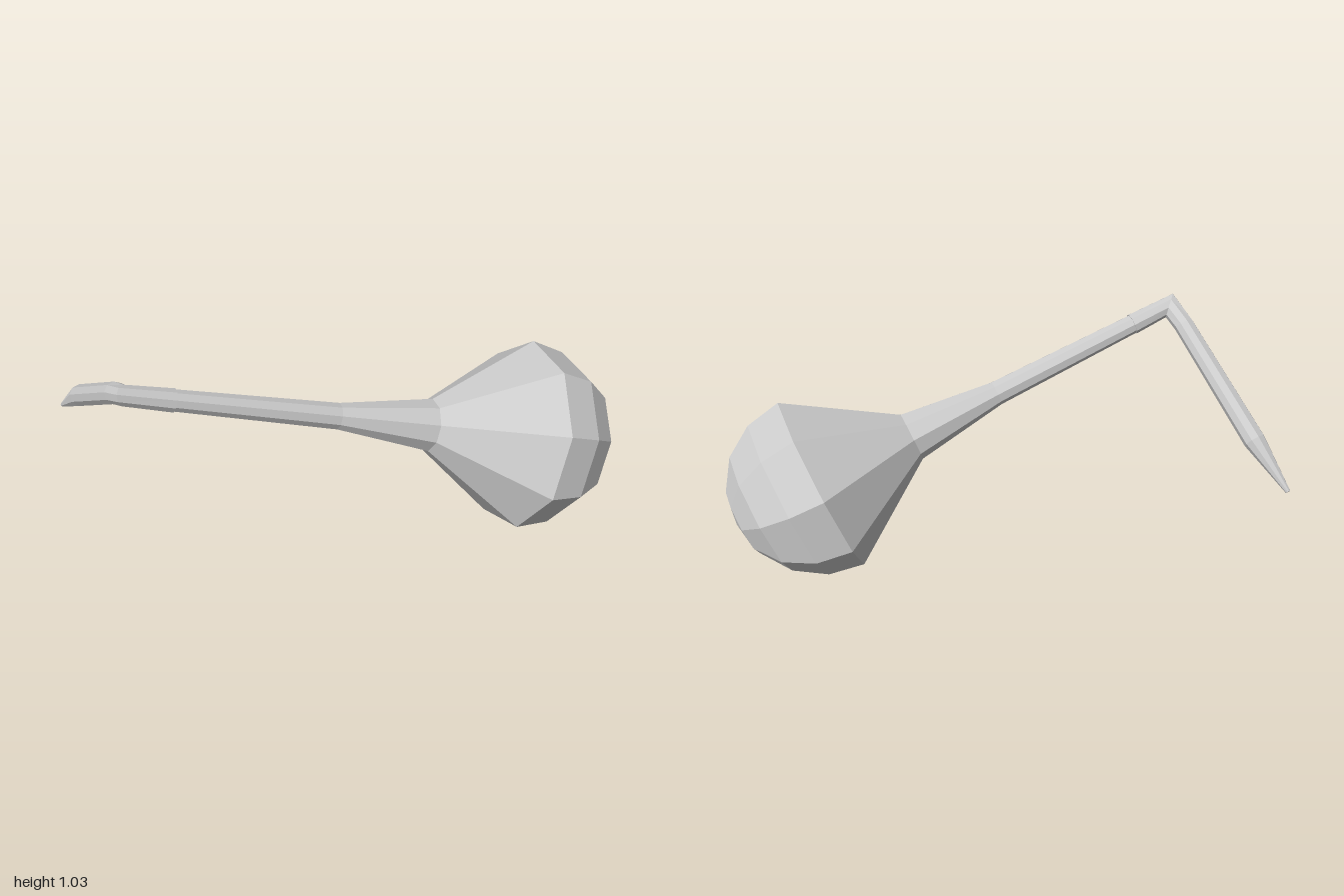
import * as THREE from 'three';

const SIDES = 9;
const vec = (x, y, z) => new THREE.Vector3(x, y, z);

// Ring of points around a centre, spanned by the unit vectors u and v
function ring(center, u, v, r) {
  return Array.from({ length: SIDES }, (_, i) => {
    const a = (i / SIDES) * Math.PI * 2;
    return center.clone().addScaledVector(u, r * Math.cos(a)).addScaledVector(v, r * Math.sin(a));
  });
}

// Faceted skin through a list of rings
function skin(name, rings) {
  const pos = [];
  for (let i = 0; i < rings.length - 1; i++) {
    for (let j = 0; j < SIDES; j++) {
      const k = (j + 1) % SIDES;
      const a = rings[i][j], b = rings[i][k], c = rings[i + 1][j], d = rings[i + 1][k];
      for (const p of [a, b, c, b, d, c]) pos.push(p.x, p.y, p.z);
    }
  }
  const geometry = new THREE.BufferGeometry();
  geometry.setAttribute('position', new THREE.Float32BufferAttribute(pos, 3));
  geometry.computeVertexNormals();
  const mesh = new THREE.Mesh(geometry, new THREE.MeshStandardMaterial({
    color: 0xcccccc, flatShading: true, side: THREE.DoubleSide,
  }));
  mesh.name = name;
  return mesh;
}

export function createModel() {
  const group = new THREE.Group();
  group.name = 'jointedStalk';

  // Main axis, from the bulb up to the elbow
  const bulb = vec(0.583, 0.42, -0.555);
  const axis = vec(-0.428, 0.32, 0.845).normalize();
  const elbow = bulb.clone().addScaledVector(axis, 1.775);
  const armAxis = vec(-0.805, -0.555, -0.2).normalize();
  const u = vec(0.127, 0.39, 0).projectOnPlane(axis).normalize();
  const v = axis.clone().cross(u);
  const onAxis = (s, r) => ring(bulb.clone().addScaledVector(axis, s), u, v, r);

  // Mitre ring shared by stalk and arm
  const mitre = axis.clone().add(armAxis).normalize();
  const elbowRing = ring(elbow, u, v, 0.042).map((p) => {
    const t = elbow.clone().sub(p).dot(mitre) / axis.dot(mitre);
    return p.addScaledVector(axis, t);
  });

  // Rounded back of the bulb, then the cone to the neck
  const R = 0.417;
  const bulbRings = [];
  for (let i = 0; i <= 4; i++) {
    const a = (i / 4) * Math.PI / 2;
    bulbRings.push(onAxis(-R * Math.cos(a), R * Math.sin(a)));
  }
  bulbRings.push(onAxis(0.45, 0.114));
  group.add(skin('bulb', bulbRings));

  // Tapering stalk with a slight collar below the elbow
  const stalk = [[0.45, 0.114], [0.88, 0.056], [1.58, 0.044], [1.58, 0.048]];
  group.add(skin('stalk', [...stalk.map(([s, r]) => onAxis(s, r)), elbowRing]));

  // Bent arm, narrowing to a closed tip
  const au = u.clone().reflect(mitre), av = v.clone().reflect(mitre);
  const arm = [
    [-0.28, 0.935, 0.922, 0.045],
    [-0.785, 0.595, 0.8, 0.049],
    [-0.993, 0.425, 0.785, 0.011],
    [-0.993, 0.425, 0.785, 0],
  ];
  group.add(skin('arm', [elbowRing, ...arm.map(([x, y, z, r]) => ring(vec(x, y, z), au, av, r))]));

  return group;
}
